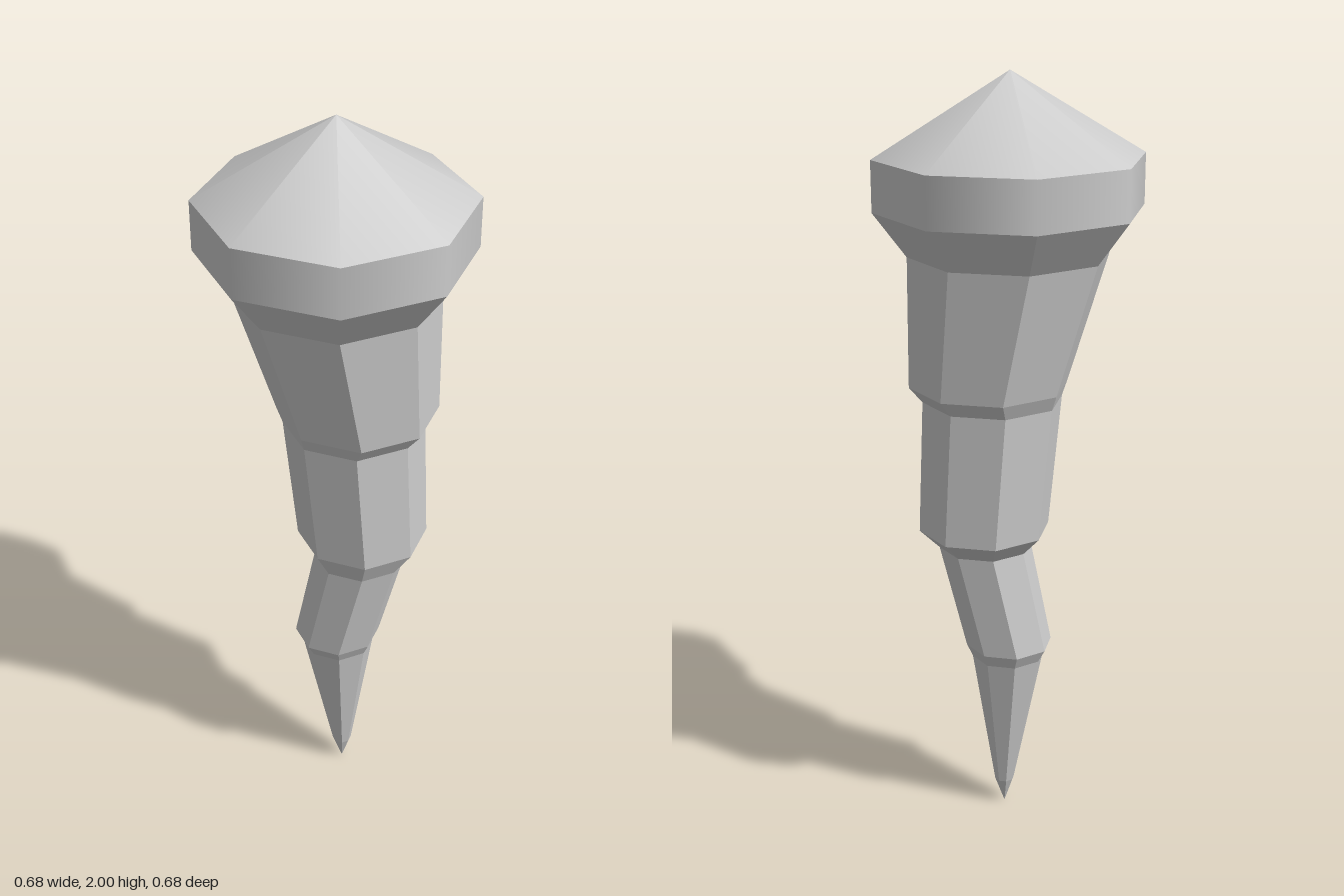
import * as THREE from 'three';

const SIDES = 8;

// Octagonal tube through rings of [y, centreX, centreZ, radius], listed bottom to top
function ringTube(rings) {
  const geo = new THREE.CylinderGeometry(1, 1, 1, SIDES, rings.length - 1, true);
  const pos = geo.attributes.position;
  const top = rings.length - 1;
  for (let i = 0; i < pos.count; i++) {
    const [y, cx, cz, r] = rings[top - Math.floor(i / (SIDES + 1))];
    pos.setXYZ(i, cx + pos.getX(i) * r, y, cz + pos.getZ(i) * r);
  }
  const flat = geo.toNonIndexed();
  flat.computeVertexNormals();
  return flat;
}

export function createModel() {
  const group = new THREE.Group();
  const smooth = new THREE.MeshStandardMaterial({ color: 0xcccccc });
  const faceted = new THREE.MeshStandardMaterial({ color: 0xcccccc, flatShading: true });

  const add = (name, geometry, material, y = 0) => {
    const mesh = new THREE.Mesh(geometry, material);
    mesh.name = name;
    mesh.position.y = y;
    group.add(mesh);
  };

  // Smooth-shaded cap: low cone on a straight band
  add('capCone', new THREE.ConeGeometry(0.341, 0.205, SIDES, 1, true), smooth, 1.8975);
  add('capBand', new THREE.CylinderGeometry(0.341, 0.341, 0.128, SIDES, 1, true), smooth, 1.731);

  // Crooked, stepped shaft narrowing to a point
  add('shaft', ringTube([
    [0, 0.016, 0, 0.001],
    [0.07, 0.016, 0, 0.026],
    [0.455, 0.005, 0, 0.097],
    [0.49, 0.003, 0, 0.115],
    [0.77, 0.063, 0.021, 0.122],
    [0.83, 0.069, -0.002, 0.171],
    [1.18, 0.045, 0, 0.181],
    [1.22, 0.055, 0, 0.205],
    [1.555, 0.001, 0, 0.257],
    [1.667, 0, 0, 0.341],
  ]), faceted);

  return group;
}
